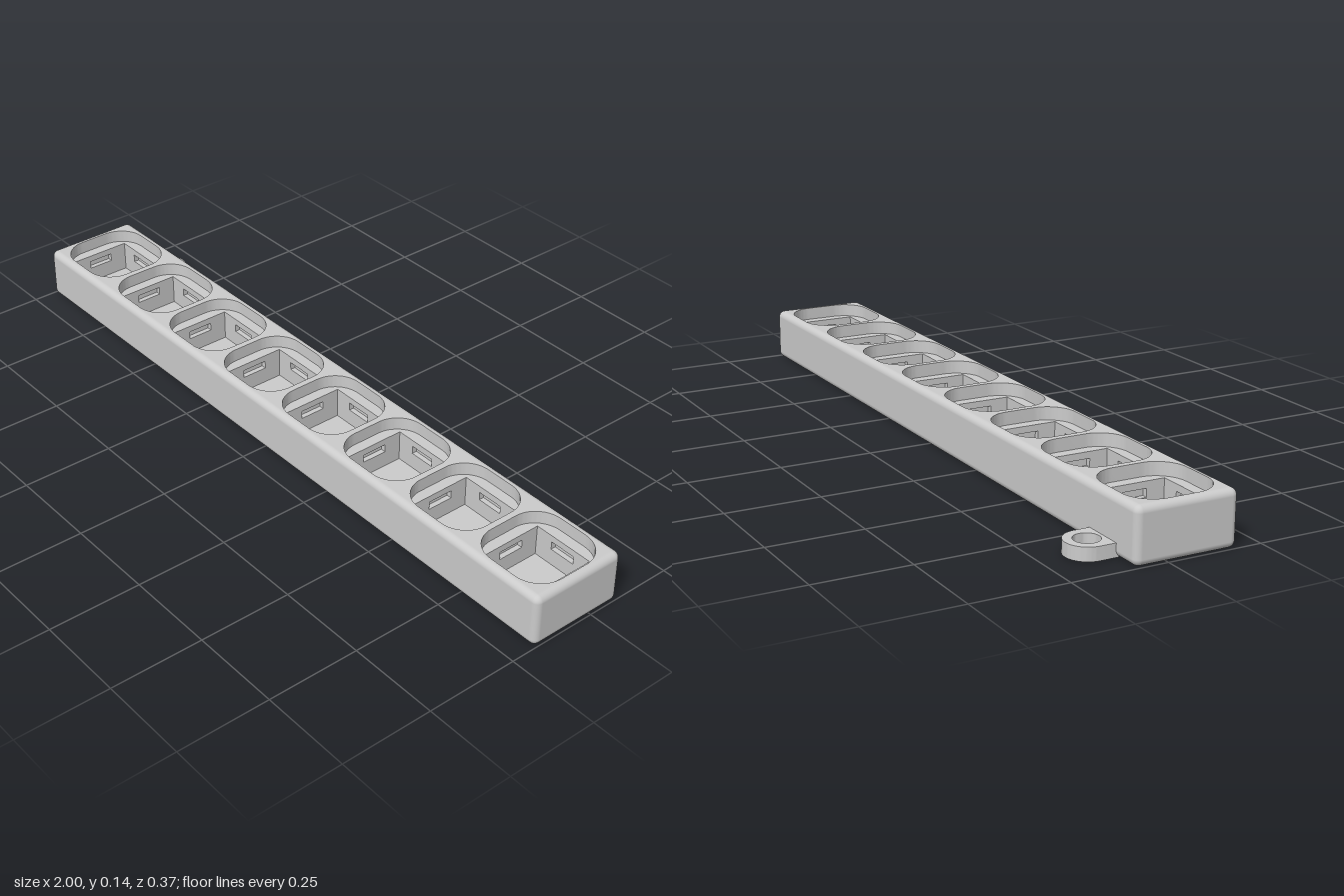
import * as THREE from 'three';
import { RoundedBoxGeometry } from 'three/addons/geometries/RoundedBoxGeometry.js';
import { toCreasedNormals } from 'three/addons/utils/BufferGeometryUtils.js';

const L = 2, H = 0.143, W = 0.272, R = 0.018;   // tray size and edge radius
const COUNT = 8, PITCH = 0.247;                 // pockets along the tray
const CENTRE_Z = 0.049;
const material = new THREE.MeshStandardMaterial({ color: 0xcccccc });

function roundedSquare(cx, half, r) {
  const p = new THREE.Path(), k = half - r;
  p.absarc(cx + k, k, r, 0, Math.PI / 2);
  p.absarc(cx - k, k, r, Math.PI / 2, Math.PI);
  p.absarc(cx - k, -k, r, Math.PI, Math.PI * 1.5);
  p.absarc(cx + k, -k, r, Math.PI * 1.5, Math.PI * 2);
  p.closePath();
  return p;
}

// Square with a notch of half width n and depth d in each side (d = 0: plain)
function notchedSquare(cx, half, n = 0, d = 0) {
  const side = d ? [[half, -half], [half, -n], [half + d, -n], [half + d, n], [half, n]] : [[half, -half]];
  const points = [];
  for (let q = 0; q < 4; q++) {
    for (const [x, y] of side) {
      const v = new THREE.Vector2(x, y).rotateAround(new THREE.Vector2(), q * Math.PI / 2);
      points.push(v.add(new THREE.Vector2(cx, 0)));
    }
  }
  return new THREE.Path(points);
}

// One horizontal layer of the tray, pierced by a row of openings
function layer(name, y0, y1, opening) {
  const x = L / 2 - R, y = W / 2 - R;
  const shape = new THREE.Shape([[-x, -y], [x, -y], [x, y], [-x, y]].map(p => new THREE.Vector2(...p)));
  for (let i = 0; opening && i < COUNT; i++) {
    shape.holes.push(opening((i - (COUNT - 1) / 2) * PITCH));
  }
  const geo = new THREE.ExtrudeGeometry(shape, { depth: y1 - y0, bevelEnabled: false, curveSegments: 10 });
  geo.rotateX(-Math.PI / 2).translate(0, y0, 0);
  const mesh = new THREE.Mesh(toCreasedNormals(geo, 0.6), material);
  mesh.name = name;
  return mesh;
}

// Rounded outer skin with its flat top left open for the layers
function outerShell() {
  const geo = new RoundedBoxGeometry(L, H, W, 4, R).toNonIndexed();
  const pos = geo.attributes.position, keep = [];
  for (let i = 0; i < pos.count; i += 3) {
    const onTop = [0, 1, 2].every(k => pos.getY(i + k) > H / 2 - 1e-5);
    if (!onTop) keep.push(i, i + 1, i + 2);
  }
  geo.setIndex(keep);
  geo.clearGroups();
  geo.translate(0, H / 2, 0);
  const mesh = new THREE.Mesh(geo, material);
  mesh.name = 'outerShell';
  return mesh;
}

// Flat hanging loop behind the tray
function hangingLoop() {
  const r = 0.056, shape = new THREE.Shape();
  shape.moveTo(-r, -0.05);
  shape.lineTo(r, -0.05);
  shape.absarc(0, 0, r, 0, Math.PI);
  shape.closePath();
  const hole = new THREE.Path();
  hole.absarc(0, 0, 0.033, 0, Math.PI * 2);
  shape.holes.push(hole);
  const geo = new THREE.ExtrudeGeometry(shape, { depth: 0.035, bevelEnabled: false, curveSegments: 24 });
  geo.rotateX(-Math.PI / 2);
  const mesh = new THREE.Mesh(toCreasedNormals(geo, 0.6), material);
  mesh.name = 'hangingLoop';
  mesh.position.set(-0.866, 0, -0.129);
  return mesh;
}

export function createModel() {
  const model = new THREE.Group();
  model.name = 'pocketTray';
  const tray = new THREE.Group();
  tray.name = 'tray';
  tray.position.z = CENTRE_Z;

  const ledge = H - 0.035, notchTop = ledge - 0.018, notchBottom = notchTop - 0.022, floor = 0.024;
  const square = cx => notchedSquare(cx, 0.085);
  tray.add(
    outerShell(),
    layer('roundedRecesses', ledge, H, cx => roundedSquare(cx, 0.115, 0.075)),
    layer('pocketLip', notchTop, ledge, square),
    layer('clipNotches', notchBottom, notchTop, cx => notchedSquare(cx, 0.085, 0.036, 0.014)),
    layer('pocketWalls', floor, notchBottom, square),
    layer('pocketFloor', 0.01, floor)
  );
  model.add(tray, hangingLoop());
  return model;
}
